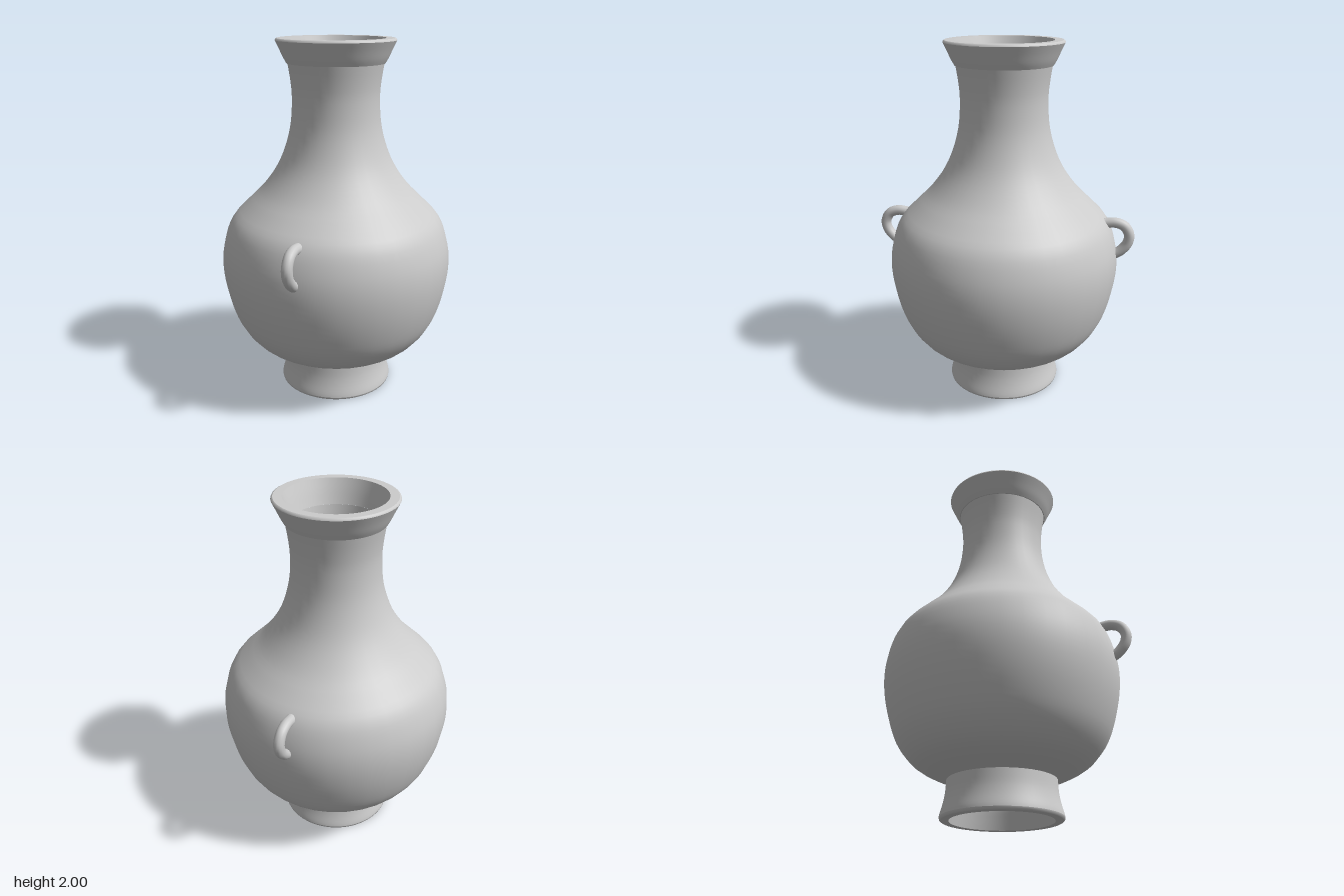
import * as THREE from 'three';

const material = new THREE.MeshStandardMaterial({ color: 0xcccccc });

const vectors = (pairs) => pairs.map(([x, y]) => new THREE.Vector2(x, y));
const smooth = (pairs, n) => new THREE.SplineCurve(vectors(pairs)).getPoints(n);

// Each profile is a separate lathe, so the edges between them stay sharp.
function turned(name, profiles, segments) {
  const group = new THREE.Group();
  group.name = name;
  profiles.forEach((points, i) => {
    const mesh = new THREE.Mesh(new THREE.LatheGeometry(points, segments), material);
    mesh.name = `${name}Surface${i + 1}`;
    group.add(mesh);
  });
  return group;
}

// Curved lug: a tube with rounded ends sunk into the belly
function lugHandle(name, side) {
  const path = [[1.01, 0.575], [1.015, 0.635], [0.995, 0.685], [0.945, 0.712],
    [0.895, 0.703], [0.85, 0.667], [0.825, 0.63]]
    .map(([y, z]) => new THREE.Vector3(0, y, z * side));
  const group = new THREE.Group();
  group.name = name;
  const curve = new THREE.CatmullRomCurve3(path);
  group.add(new THREE.Mesh(new THREE.TubeGeometry(curve, 28, 0.029, 14), material));
  for (const end of [path[0], path[path.length - 1]]) {
    const cap = new THREE.Mesh(new THREE.SphereGeometry(0.029, 14, 10), material);
    cap.position.copy(end);
    group.add(cap);
  }
  group.children.forEach((mesh, i) => { mesh.name = `${name}${['Tube', 'UpperEnd', 'LowerEnd'][i]}`; });
  return group;
}

export function createModel() {
  const model = new THREE.Group();
  model.name = 'vase';

  // Belly and neck
  const outer = smooth([[0.285, 0.205], [0.4, 0.25], [0.49, 0.308], [0.562, 0.4], [0.608, 0.51],
    [0.64, 0.64], [0.651, 0.77], [0.636, 0.89], [0.59, 1.01], [0.505, 1.1], [0.415, 1.19],
    [0.335, 1.3], [0.284, 1.41], [0.25, 1.54], [0.24, 1.68], [0.247, 1.78], [0.262, 1.875]], 56);
  model.add(turned('body', [outer], 36));

  // Hollow inside, from the throat down to the floor
  const inner = smooth([[0.225, 1.87], [0.212, 1.78], [0.208, 1.68], [0.216, 1.54], [0.25, 1.4],
    [0.3, 1.29], [0.38, 1.18], [0.47, 1.08], [0.55, 0.99], [0.6, 0.88], [0.612, 0.77],
    [0.6, 0.64], [0.57, 0.52], [0.525, 0.42], [0.455, 0.335], [0.35, 0.275], [0.2, 0.245], [0, 0.24]], 48);
  model.add(turned('interior', [inner], 36));

  // Flared rim: underside, outer flare, lip, inner flare
  model.add(turned('rim', [
    vectors([[0.24, 1.87], [0.266, 1.87]]),
    smooth([[0.266, 1.87], [0.283, 1.9], [0.304, 1.945], [0.325, 1.988]], 10),
    vectors([[0.325, 1.988], [0.322, 1.996], [0.315, 2]]),
    vectors([[0.315, 2], [0.268, 2]]),
    smooth([[0.268, 2], [0.247, 1.94], [0.225, 1.87]], 8),
  ], 64));

  // Hollow foot: ceiling, inner wall, standing ring, outer wall, top edge
  model.add(turned('foot', [
    vectors([[0, 0.19], [0.25, 0.19]].reverse()).reverse(),
    smooth([[0.245, 0.19], [0.25, 0.12], [0.262, 0.06], [0.275, 0]], 10),
    vectors([[0.275, 0], [0.316, 0]]),
    vectors([[0.316, 0], [0.323, 0.005], [0.325, 0.015]]),
    smooth([[0.325, 0.015], [0.321, 0.035], [0.307, 0.085], [0.297, 0.14], [0.293, 0.207]], 12),
    vectors([[0.293, 0.207], [0.25, 0.21]]),
  ], 64));

  // Lugs at front and back
  model.add(lugHandle('frontLug', 1), lugHandle('backLug', -1));
  return model;
}
